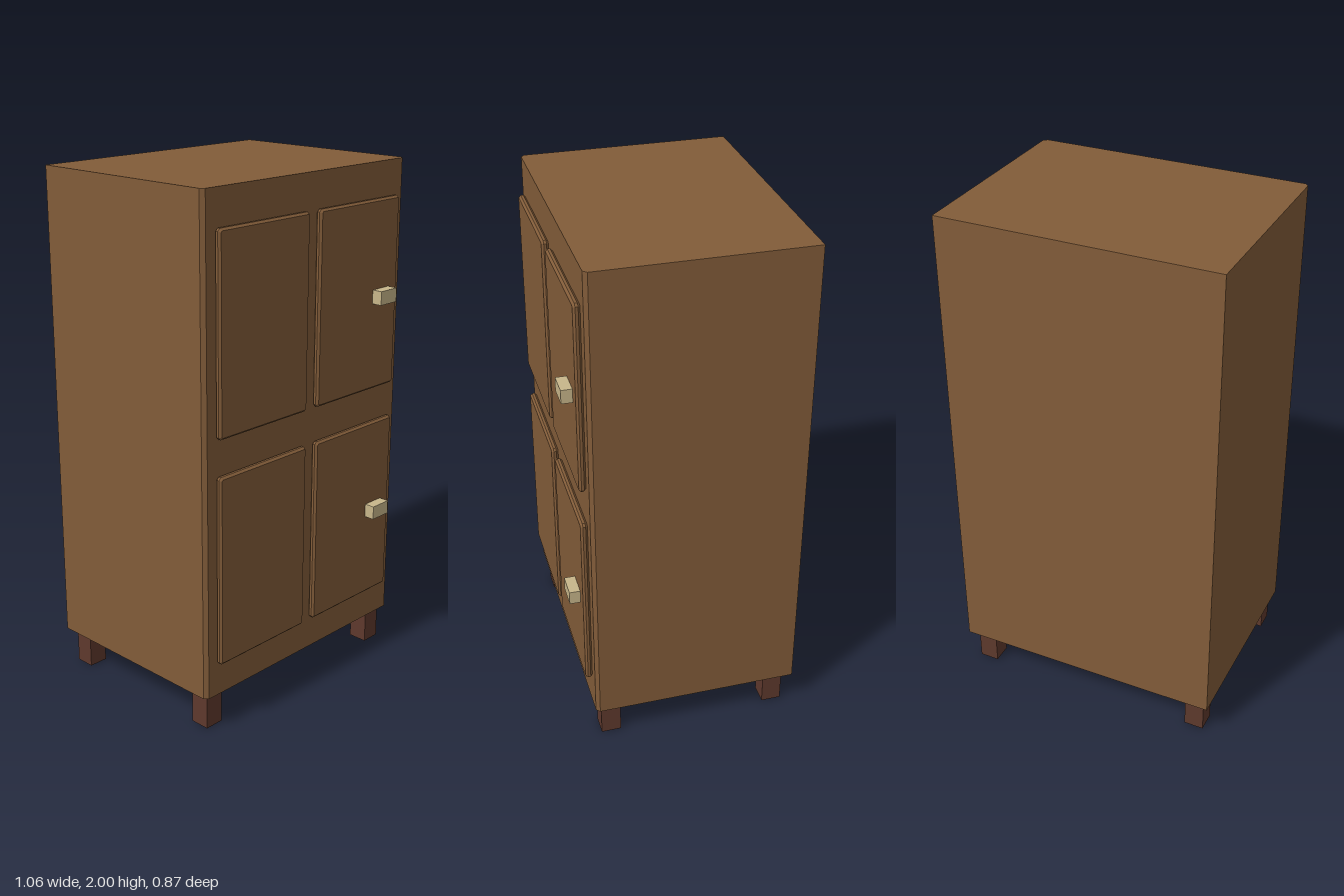
import * as THREE from 'three';

function material(name, color) {
  const m = new THREE.MeshStandardMaterial({ color });
  m.name = name;
  return m;
}

export function createModel() {
  const wood = material('brown wood', 0x825c39);
  const darkWood = material('dark leg wood', 0x5e392d);
  const brass = material('pale brass', 0xc8b68a);
  const group = new THREE.Group();

  function add(name, geometry, mat, x, y, z) {
    const mesh = new THREE.Mesh(geometry, mat);
    mesh.name = name;
    mesh.position.set(x, y, z);
    group.add(mesh);
  }

  // Cabinet body: plan outline with small chamfers on the front corners
  const c = 0.014, hw = 0.532, back = -0.435, front = 0.365;
  const plan = new THREE.Shape([
    [-hw, -back], [-hw, -front + c], [-hw + c, -front],
    [hw - c, -front], [hw, -front + c], [hw, -back],
  ].map(([x, y]) => new THREE.Vector2(x, y)));
  const body = new THREE.ExtrudeGeometry(plan, { depth: 1.86, bevelEnabled: false });
  body.rotateX(-Math.PI / 2);
  add('cabinetBody', body, wood, 0, 0.14, 0);

  // Door panel with cut corners and bevelled rims
  const w = 0.453, h = 0.73, t = 0.026, bevel = 0.008, k = 0.005;
  const a = w / 2 - bevel, b = h / 2 - bevel;
  const outline = new THREE.Shape([
    [-a + k, -b], [a - k, -b], [a, -b + k], [a, b - k],
    [a - k, b], [-a + k, b], [-a, b - k], [-a, -b + k],
  ].map(([x, y]) => new THREE.Vector2(x, y)));
  const door = new THREE.ExtrudeGeometry(outline, {
    depth: t - 2 * bevel, bevelEnabled: true,
    bevelSize: bevel, bevelThickness: bevel, bevelSegments: 1,
  });
  const handle = new THREE.BoxGeometry(0.092, 0.053, 0.045);

  // Two rows of doors, with a handle on each left-hand one
  for (const [row, y] of [['lower', 0.636], ['upper', 1.503]]) {
    add(row + 'RightDoor', door, wood, -0.254, y, front + bevel);
    add(row + 'LeftDoor', door, wood, 0.253, y, front + bevel);
    add(row + 'Handle', handle, brass, 0.38, y, 0.4095);
  }

  // Four square legs
  const leg = new THREE.BoxGeometry(0.077, 0.14, 0.077);
  for (const [side, x] of [['Right', -0.467], ['Left', 0.464]]) {
    add('front' + side + 'Leg', leg, darkWood, x, 0.07, 0.302);
    add('back' + side + 'Leg', leg, darkWood, x, 0.07, -0.363);
  }
  return group;
}
